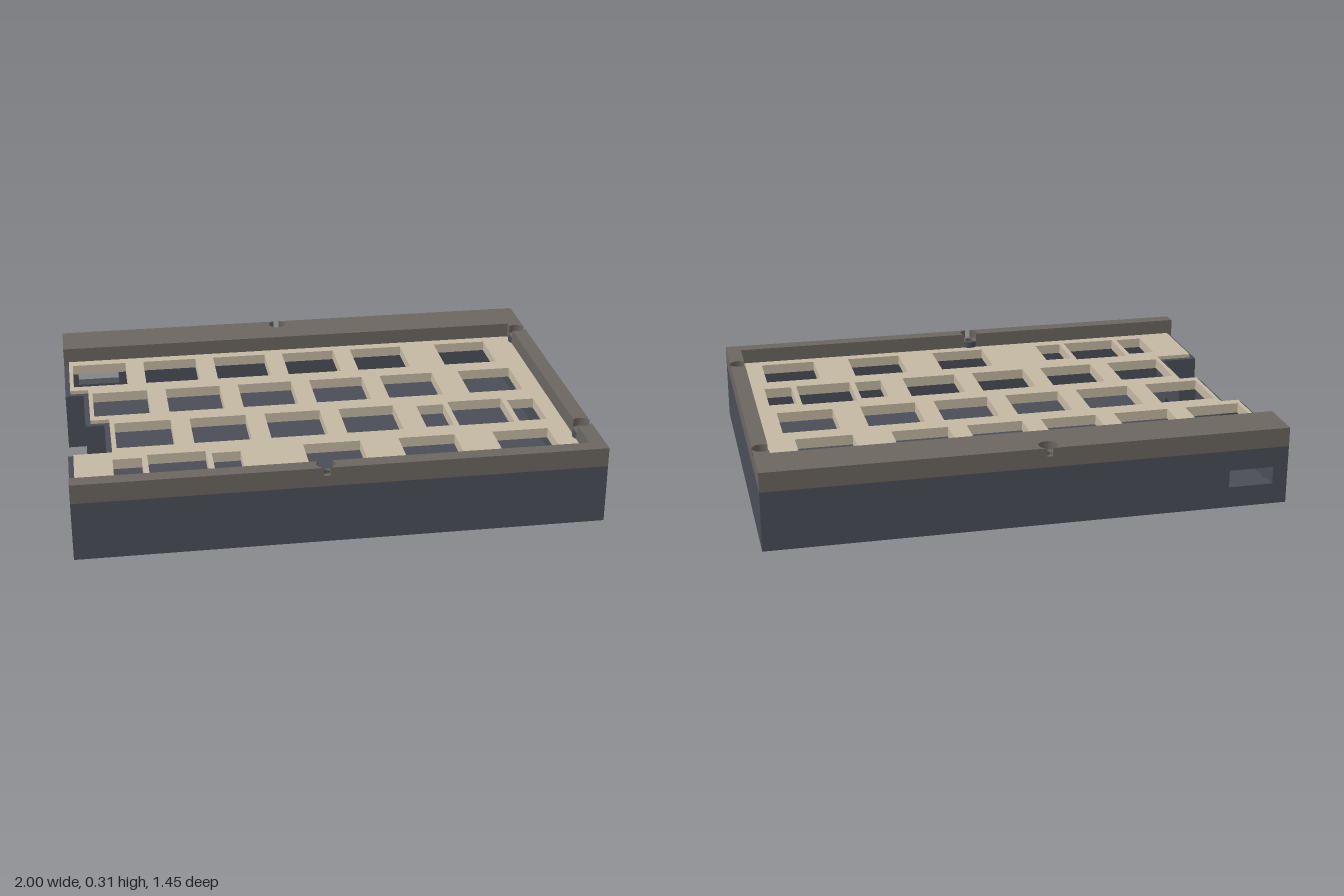
import * as THREE from 'three';

const mat = (color) => new THREE.MeshStandardMaterial({ color, flatShading: true });

// Plan outlines are given as [x, z] and extruded upwards
const toPlan = (pts) => pts.map(([x, z]) => new THREE.Vector2(x, -z));
const rect = (cx, cz, w, d) => [
  [cx - w / 2, cz - d / 2], [cx + w / 2, cz - d / 2],
  [cx + w / 2, cz + d / 2], [cx - w / 2, cz + d / 2],
];
function arc([cx, cz], r, a0, a1, n = 16) {
  return Array.from({ length: n + 1 }, (_, i) => {
    const a = a0 + ((a1 - a0) * i) / n;
    return [cx + r * Math.cos(a), cz + r * Math.sin(a)];
  });
}
const circle = (c, r) => arc(c, r, 0, Math.PI * 2, 24).slice(0, -1);

// Outline runs counter-clockwise and holes clockwise, so every side wall faces outwards
function extrude(outline, holes, depth) {
  const wind = (pts, clockwise) =>
    (THREE.ShapeUtils.isClockWise(pts) === clockwise ? pts : pts.reverse());
  const shape = new THREE.Shape(wind(outline, false));
  shape.holes = holes.map((h) => new THREE.Path(wind(h, true)));
  return new THREE.ExtrudeGeometry(shape, { depth, bevelEnabled: false });
}
function part(name, geo, material) {
  const mesh = new THREE.Mesh(geo, material);
  mesh.name = name;
  return mesh;
}
function slab(name, pts, holes, y0, y1, material) {
  const geo = extrude(toPlan(pts), holes.map(toPlan), y1 - y0);
  return part(name, geo.rotateX(-Math.PI / 2).translate(0, y0, 0), material);
}

const FLOOR = 0.03, RIM = 0.23, SEAT = 0.272, TOP = 0.305;
const D = 0.7225; // half depth
const BACK = -0.541, FRONT = 0.664, SIDE = 0.94; // inner edges of the bezel

// Upright panel with openings given as [along, y] points; axis is the direction it runs in
function panel(name, axis, a0, a1, t0, t1, openings, material) {
  const v = (pts) => pts.map(([a, y]) => new THREE.Vector2(a, y));
  const geo = extrude(v([[a0, FLOOR], [a1, FLOOR], [a1, RIM], [a0, RIM]]), openings.map(v), t1 - t0);
  if (axis === 'x') geo.translate(0, 0, t0);
  else geo.rotateY(-Math.PI / 2).translate(t1, 0, 0);
  return part(name, geo, material);
}

export function createModel() {
  const model = new THREE.Group();
  model.name = 'keyboardCase';
  const dark = mat(0x4a4e57), grey = mat(0x6b6660), tan = mat(0xc4b8a2);

  // Tray: floor and walls, stepped along the -x side
  const tray = new THREE.Group();
  tray.name = 'tray';
  tray.add(slab('trayFloor', [
    [-1, -D], [1, -D], [1, D], [-1, D], [-1, 0.335], [-0.853, 0.335],
    [-0.853, 0.08], [-0.927, 0.08], [-0.927, -0.217], [-1, -0.217],
  ], [], 0, FLOOR, dark));
  tray.add(
    panel('backWall', 'x', -1, 1, -D, -0.665, [rect(-0.855, 0.116, 0.175, 0.068)], dark),
    panel('frontWall', 'x', -1, 1, FRONT, D, [], dark),
    panel('sideWall', 'z', -D, D, SIDE, 1, [], dark),
  );
  // One side panel per key row, each with a round port
  [[-D, -0.217, -1, -0.39], [-0.237, 0.08, -0.927, -0.09],
    [0.06, 0.355, -0.853, 0.21], [0.335, D, -1, 0.5]].forEach(([z0, z1, x, port]) => {
    tray.add(panel('steppedWall', 'z', z0, z1, x, x + 0.02, [circle([port, 0.08], 0.023)], dark));
  });
  [[-1, -0.907, -0.237], [-0.927, -0.833, 0.06], [-1, -0.833, 0.335]].forEach(([x0, x1, z]) => {
    tray.add(panel('stepReturn', 'x', x0, x1, z, z + 0.02, [], dark));
  });
  model.add(tray);

  // Switch plate: [row z, key centres]
  const rows = [
    [-0.386, [-0.853, -0.555, -0.257, 0.041, 0.338, 0.71]],
    [-0.088, [-0.779, -0.481, -0.183, 0.115, 0.413, 0.747]],
    [0.21, [-0.704, -0.407, -0.109, 0.189, 0.635]],
    [0.508, [-0.593, 0.003, 0.375, 0.747]],
  ];
  const cutouts = rows.flatMap(([z, xs]) => xs.map((x) => rect(x, z, 0.222, 0.222)));
  // Stabiliser slots either side of the wide keys
  [[0.635, 0.217], [-0.593, 0.516]].forEach(([x, z]) => {
    [-1, 1].forEach((s) => cutouts.push(rect(x + s * 0.187, z, 0.11, 0.196)));
  });
  model.add(slab('switchPlate', [
    [-0.98, BACK], [SIDE, BACK], [SIDE, FRONT], [-0.98, FRONT], [-0.98, 0.355],
    [-0.833, 0.355], [-0.833, 0.06], [-0.907, 0.06], [-0.907, -0.237], [-0.98, -0.237],
  ], cutouts, 0.205, 0.245, tan));

  // Bezel, lower layer: U-shaped frame with screw holes
  const bezel = new THREE.Group();
  bezel.name = 'bezel';
  const back = [-0.065, -0.688], front = [-0.065, 0.688];
  const sideA = [0.9655, -0.485], sideB = [0.9655, 0.485];
  const screws = [back, front, sideA, sideB];
  bezel.add(slab('bezelBase', [
    [-1, -D], [1, -D], [1, D], [-1, D],
    [-1, FRONT], [SIDE, FRONT], [SIDE, BACK], [-1, BACK],
  ], screws.map((c) => circle(c, 0.017)), RIM, SEAT, grey));
  // Screw posts, standing proud of the narrow sides of the bezel
  screws.forEach((c) => {
    tray.add(slab('screwPost', circle(c, 0.034), [circle(c, 0.017)], 0.2, SEAT - 0.002, dark));
  });

  // Upper layer: broken by the round screw recesses, which just pierce the outer faces
  const R = 0.036;
  [
    [[-1, -D], ...arc(back, R, 4.416, -1.275, 24), [1, -D],
      ...arc(sideA, R, -0.296, -2.359), [SIDE, BACK], [-1, BACK]],
    [...arc(sideA, R, 0.296, 2.359), ...arc(sideB, R, -2.359, -0.296)],
    [...arc(sideB, R, 2.359, 0.296), [1, D], ...arc(front, R, 1.275, -0.72), [SIDE, FRONT]],
    [[-1, FRONT], ...arc(front, R, 3.862, 1.867), [-1, D]],
  ].forEach((pts) => bezel.add(slab('bezelTop', pts, [], SEAT, TOP, grey)));
  model.add(bezel);

  return model;
}
